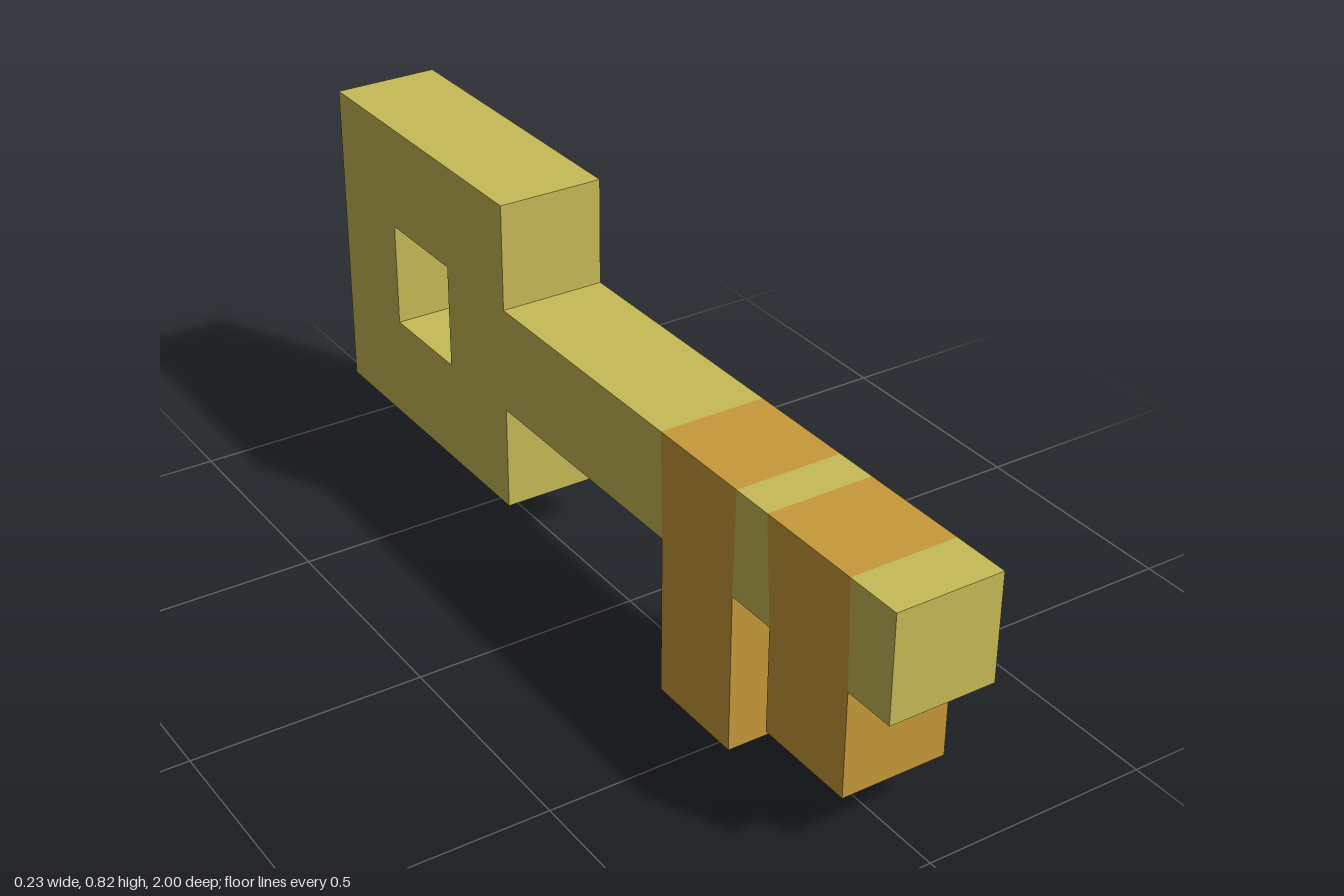
import * as THREE from 'three';
import { mergeGeometries } from 'three/addons/utils/BufferGeometryUtils.js';

const HALF = 0.117;                 // half thickness of the key
const LOW = 0.355, HIGH = 0.59;     // underside and top of the shaft

export function createModel() {
  const yellow = new THREE.MeshStandardMaterial({ color: 0xc8bb57 });
  yellow.name = 'paleGold';
  const orange = new THREE.MeshStandardMaterial({ color: 0xc79a3a });
  orange.name = 'amber';

  const key = new THREE.Group();
  key.name = 'key';

  // Wall standing on the edge a-b, spanning the key's thickness.
  function wall(a, b) {
    const g = new THREE.PlaneGeometry(1, 1);
    const p = g.attributes.position;
    p.setXYZ(0, a[0], a[1], HALF);
    p.setXYZ(1, b[0], b[1], HALF);
    p.setXYZ(2, a[0], a[1], -HALF);
    p.setXYZ(3, b[0], b[1], -HALF);
    g.computeVertexNormals();
    return g;
  }

  // Part with the given side outline, as corners [z, y, colour of the wall to the next corner].
  // A null colour leaves the joint to the neighbouring part open.
  function part(name, sideMaterial, outline, hole = []) {
    const group = new THREE.Group();
    group.name = name;
    const flat = (loop) => loop.map(([z, y, m]) => [-z, y, m]);
    const outer = flat(outline), inner = flat(hole);
    const points = (loop) => loop.map(([u, v]) => new THREE.Vector2(u, v));
    const shape = new THREE.Shape(points(outer));
    if (inner.length) shape.holes.push(new THREE.Path(points(inner)));

    const left = new THREE.ShapeGeometry(shape).translate(0, 0, HALF);
    const right = new THREE.ShapeGeometry(shape);
    const order = right.index.array;
    for (let i = 0; i < order.length; i += 3) [order[i], order[i + 1]] = [order[i + 1], order[i]];
    right.translate(0, 0, -HALF);
    right.computeVertexNormals();

    const faces = new Map([[yellow, []], [orange, []]]);
    faces.get(sideMaterial).push(left, right);
    for (const loop of [outer, inner]) {
      loop.forEach((a, i) => {
        if (a[2]) faces.get(a[2]).push(wall(a, loop[(i + 1) % loop.length]));
      });
    }
    for (const [material, list] of faces) {
      if (!list.length) continue;
      const mesh = new THREE.Mesh(mergeGeometries(list).rotateY(Math.PI / 2), material);
      mesh.name = name + (material === yellow ? 'Gold' : 'Amber');
      group.add(mesh);
    }
    key.add(group);
  }

  // Square bow with a square hole, open where the shaft joins
  part('bow', yellow, [
    [-0.295, 0.12, yellow], [-1, 0.12, yellow], [-1, 0.825, yellow],
    [-0.295, 0.825, yellow], [-0.295, HIGH, null], [-0.295, LOW, yellow],
  ], [
    [-0.53, LOW, yellow], [-0.53, HIGH, yellow], [-0.765, HIGH, yellow], [-0.765, LOW, yellow],
  ]);

  // Shaft pieces: front and back z at the underside, then at the top
  const shaft = (name, f, b, ft, bt, end) => part(name, yellow, [
    [f, LOW, yellow], [b, LOW, null], [bt, HIGH, yellow], [ft, HIGH, end],
  ]);
  shaft('shaftTip', 1, 0.883, 1, 0.873, yellow);
  shaft('shaftGap', 0.648, 0.53, 0.63, 0.535, null);
  shaft('shaftStem', 0.295, -0.295, 0.288, -0.295, null);

  // Teeth with the amber band they carry up around the shaft; their backs stay gold
  const tooth = (name, y, f, b, ft, bt) => part(name, orange, [
    [f, y, orange], [b, y, yellow], [b, LOW, null],
    [bt, HIGH, orange], [ft, HIGH, null], [f, LOW, orange],
  ]);
  tooth('frontTooth', 0.12, 0.883, 0.648, 0.873, 0.63);
  tooth('longTooth', 0, 0.53, 0.295, 0.535, 0.288);

  return key;
}
